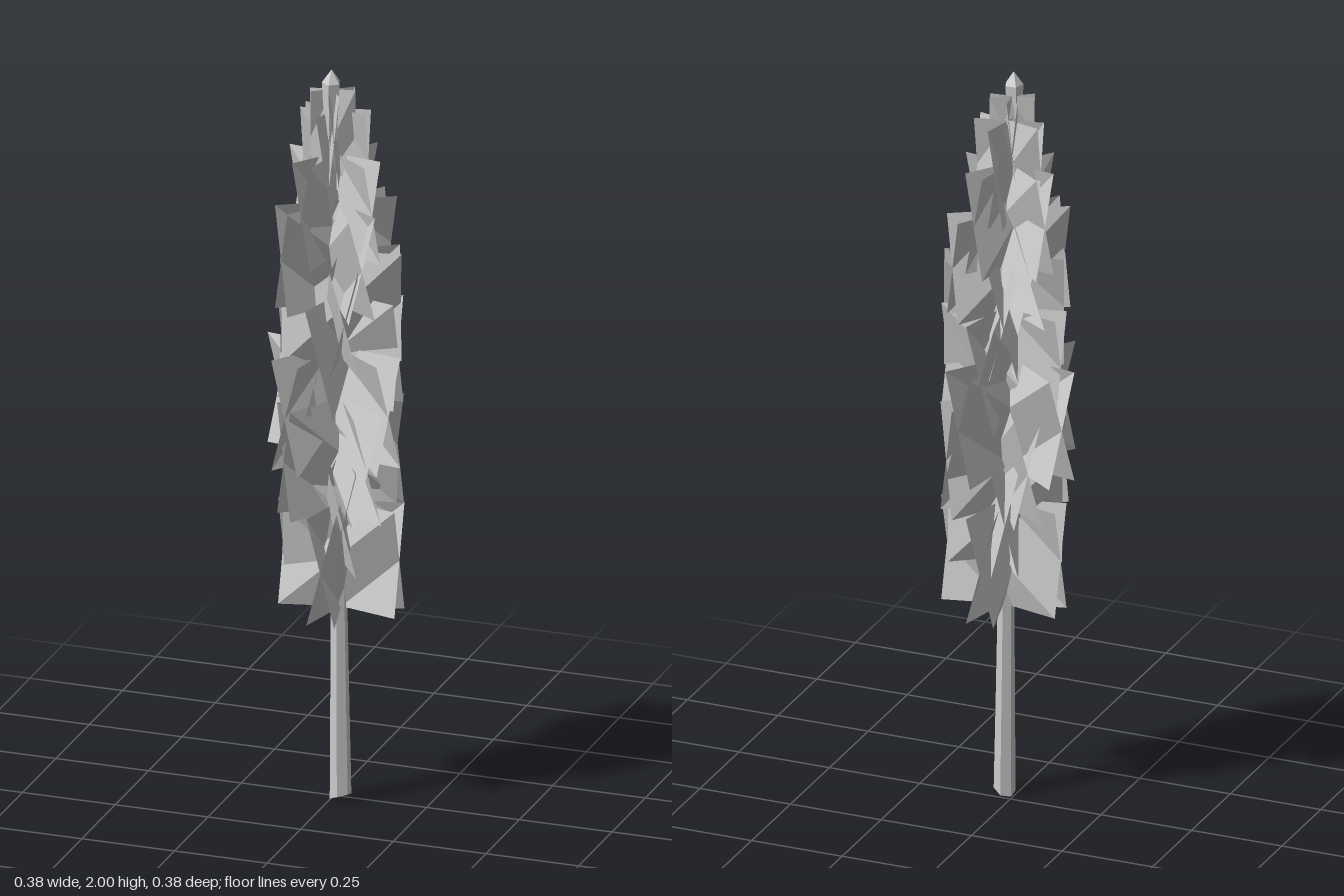
import * as THREE from 'three';

const material = new THREE.MeshStandardMaterial({ color: 0xcccccc, flatShading: true, side: THREE.DoubleSide });

// Foliage tiers from bottom to top: top height, card height, reach, centre x, centre z
const tiers = [
  [0.82, 0.29, 0.157, 0.028, 0.023],
  [0.95, 0.29, 0.145, 0.025, 0.025],
  [1.10, 0.30, 0.160, 0.028, 0.028],
  [1.23, 0.30, 0.187, 0.000, 0.000],
  [1.37, 0.29, 0.157, 0.012, -0.013],
  [1.50, 0.29, 0.152, 0.027, 0.022],
  [1.63, 0.28, 0.154, 0.010, 0.012],
  [1.76, 0.28, 0.128, 0.007, 0.012],
  [1.88, 0.27, 0.088, 0.007, 0.007],
  [1.94, 0.26, 0.057, 0.007, 0.028],
];

// A card spanning the crown, its top edge turned one way and its bottom edge the other
function cardCorners(top, height, reach, lean) {
  const low = top - height;
  const lowA = [-reach, low, lean], lowB = [reach, low, -lean];
  const topA = [-reach, top, -lean], topB = [reach, top, lean];
  return [...lowA, ...lowB, ...topB, ...lowA, ...topB, ...topA];
}

// One frond is a pair of cards twisted in opposite directions
function frondGeometry(top, height, reach) {
  const lean = reach * 0.24;
  const points = [...cardCorners(top, height, reach, lean), ...cardCorners(top, height, reach, -lean)];
  const geometry = new THREE.BufferGeometry();
  geometry.setAttribute('position', new THREE.Float32BufferAttribute(points, 3));
  geometry.computeVertexNormals();
  return geometry;
}

function createTrunk() {
  const height = 1.8;
  const geometry = new THREE.CylinderGeometry(0.006, 0.028, height, 6, 6);
  geometry.translate(0, height / 2, 0);
  const p = geometry.attributes.position;
  for (let i = 0; i < p.count; i++) {
    const y = p.getY(i), t = y / height, x = p.getX(i), z = p.getZ(i);
    // slanted foot and a slight lean of the stem
    if (y < 0.01) p.setY(i, Math.max(0, 0.014 + x * 0.35 + z * 0.25));
    p.setX(i, x + 0.028 - 0.018 * t);
    p.setZ(i, z + 0.028 - 0.012 * t);
  }
  geometry.computeVertexNormals();
  const trunk = new THREE.Mesh(geometry, material);
  trunk.name = 'trunk';
  return trunk;
}

// Pointed bud at the very top
function createBud() {
  const profile = [[0.010, 1.70], [0.025, 1.965], [0, 2]].map(([r, y]) => new THREE.Vector2(r, y));
  const bud = new THREE.Mesh(new THREE.LatheGeometry(profile, 5), material);
  bud.name = 'topBud';
  bud.position.set(0.010, 0, 0.045);
  return bud;
}

export function createModel() {
  const tree = new THREE.Group();
  tree.name = 'columnarTree';
  tree.add(createTrunk(), createBud());

  // Two crossing fronds per tier, each tier turned on from the one below
  tiers.forEach(([top, height, reach, x, z], index) => {
    const tier = new THREE.Group();
    tier.name = `foliageTier${index + 1}`;
    tier.position.set(x, 0, z);
    const geometry = frondGeometry(top, height, reach);
    for (let k = 0; k < 2; k++) {
      const frond = new THREE.Mesh(geometry, material);
      frond.name = 'frond';
      frond.rotation.y = -(index * 3 * Math.PI / 8 + k * Math.PI / 2);
      tier.add(frond);
    }
    tree.add(tier);
  });
  return tree;
}
